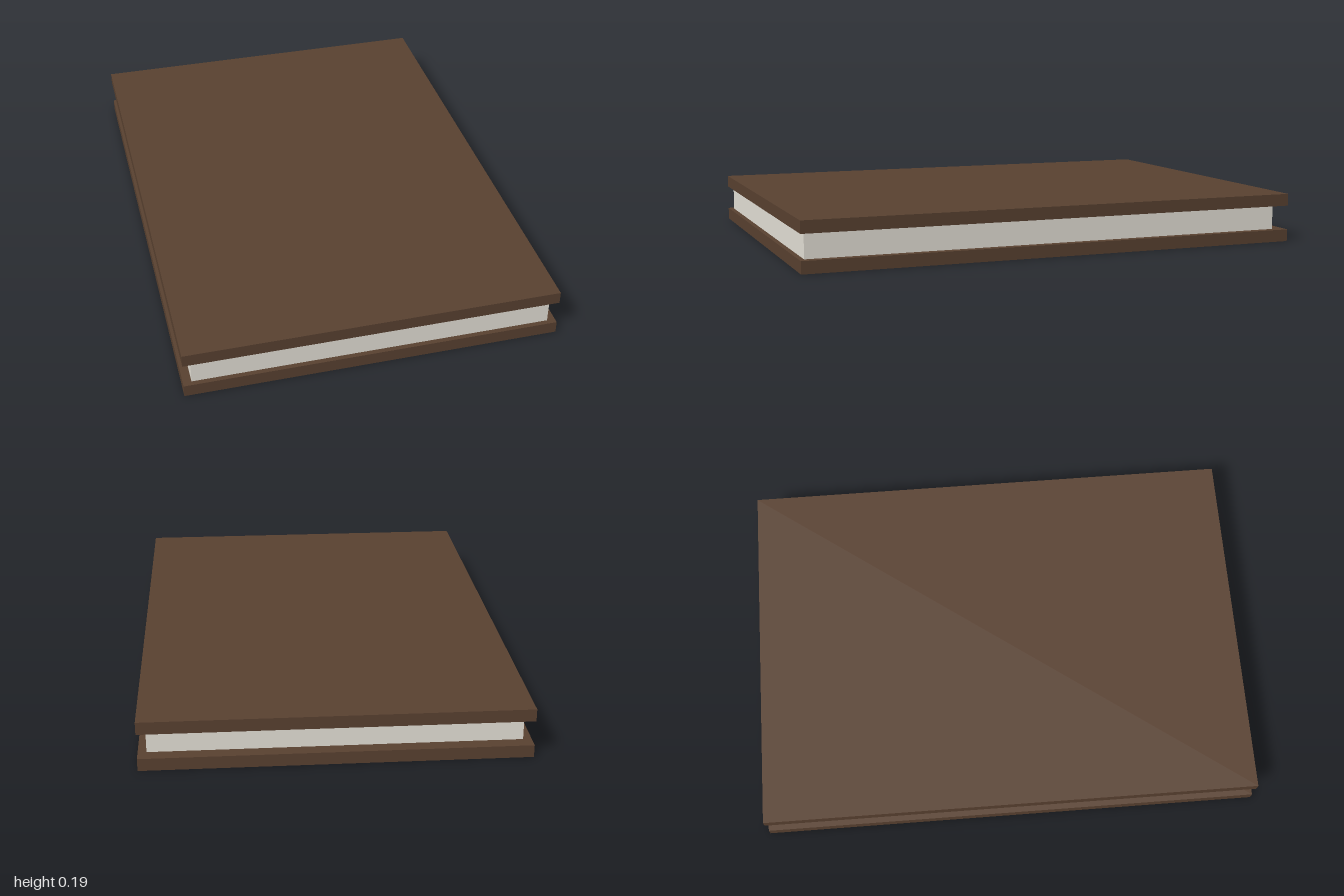
import * as THREE from 'three';

const WIDTH = 1.438, DEPTH = 2, HEIGHT = 0.193, COVER = 0.048;

function slab(name, size, position, color) {
  const mesh = new THREE.Mesh(
    new THREE.BoxGeometry(...size),
    new THREE.MeshStandardMaterial({ color })
  );
  mesh.name = name;
  mesh.position.set(...position);
  return mesh;
}

export function createModel() {
  const book = new THREE.Group();
  book.name = 'book';

  // Two matching hard covers
  const coverSize = [WIDTH, COVER, DEPTH];
  book.add(slab('bottomCover', coverSize, [0, COVER / 2, 0], 0x5a4231));
  book.add(slab('topCover', coverSize, [0, HEIGHT - COVER / 2, 0], 0x5a4231));

  // Page block, inset from the covers and set slightly towards the front
  const pageHeight = HEIGHT - 2 * COVER;
  book.add(slab('pages', [1.374, pageHeight, 1.93], [0, HEIGHT / 2, 0.016], 0xe8e4da));

  return book;
}
